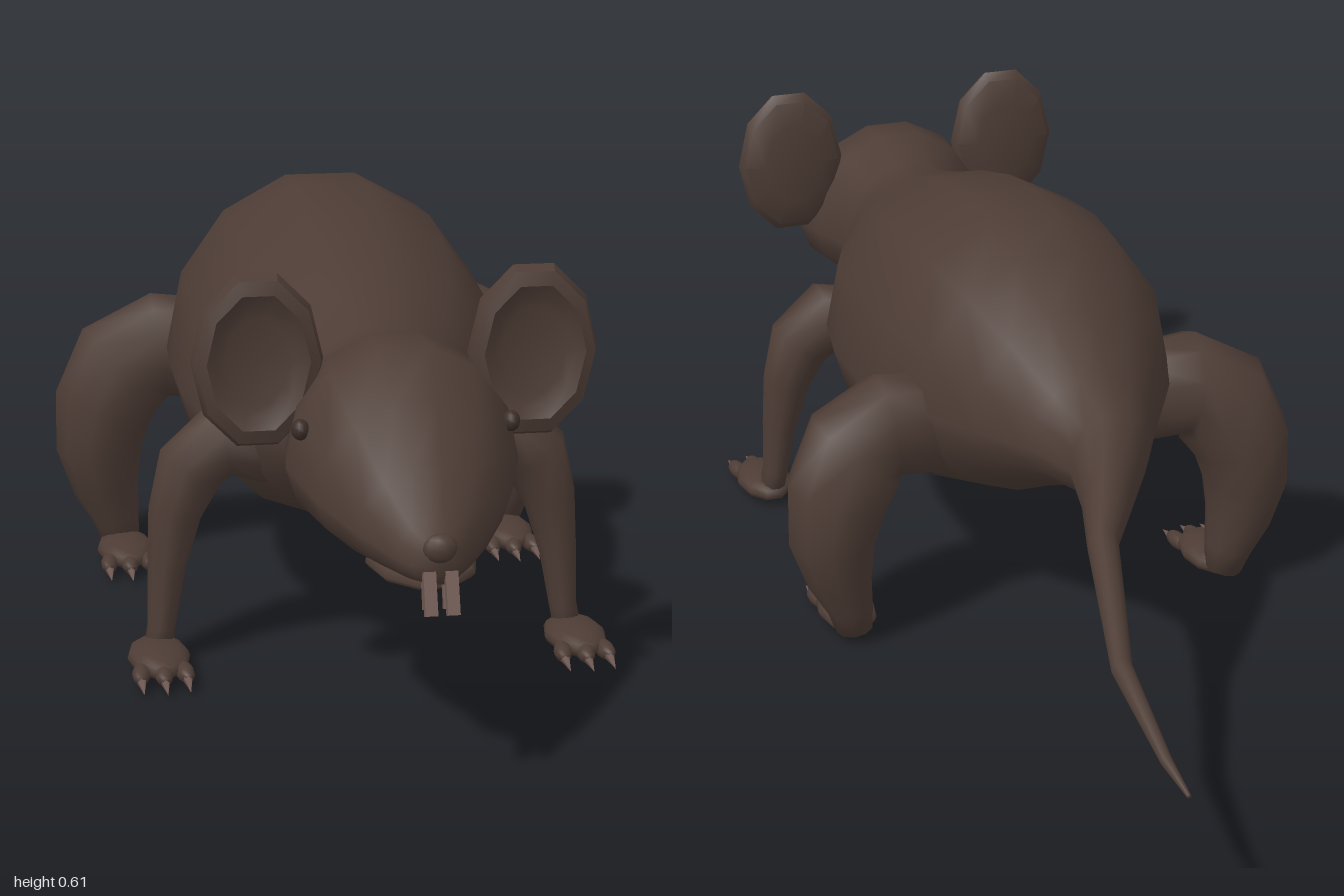
import * as THREE from 'three';
import { toCreasedNormals } from 'three/addons/utils/BufferGeometryUtils.js';

const mat = (name, color) => {
  const m = new THREE.MeshStandardMaterial({ color });
  m.name = name;
  return m;
};

// Skin joining rings of points, closed at both ends; rings run counter-clockwise about the path
function loft(rings) {
  const n = rings[0].length, pos = [], idx = [];
  rings.forEach((r) => r.forEach((p) => pos.push(p.x, p.y, p.z)));
  for (let i = 0; i < rings.length - 1; i++) {
    for (let j = 0; j < n; j++) {
      const k = (j + 1) % n, a = i * n + j, b = i * n + k;
      idx.push(a, b, b + n, a, b + n, a + n);
    }
  }
  [0, rings.length - 1].forEach((i, end) => {
    const c = new THREE.Vector3();
    rings[i].forEach((p) => c.addScaledVector(p, 1 / n));
    const ci = pos.length / 3;
    pos.push(c.x, c.y, c.z);
    for (let j = 0; j < n; j++) {
      const a = i * n + j, b = i * n + (j + 1) % n;
      if (end) idx.push(ci, a, b); else idx.push(ci, b, a);
    }
  });
  const g = new THREE.BufferGeometry();
  g.setAttribute('position', new THREE.Float32BufferAttribute(pos, 3));
  g.setIndex(idx);
  g.computeVertexNormals();
  return g;
}

// Ring upright in the xy plane, with its widest point at height mid
function uprightRing(x, z, half, bottom, top, mid, n) {
  return Array.from({ length: n }, (_, j) => {
    const a = (j / n) * Math.PI * 2, s = Math.sin(a);
    return new THREE.Vector3(x + half * Math.cos(a), mid + s * (s > 0 ? top - mid : mid - bottom), z);
  });
}

// Limb swept along points [x, y, z, radius across, radius along z]
function limb(points, side) {
  const c = points.map((p) => new THREE.Vector3(p[0] * side, p[1], p[2]));
  const v = new THREE.Vector3(0, 0, 1), n = 10;
  return loft(points.map((p, i) => {
    const t = c[Math.min(i + 1, c.length - 1)].clone().sub(c[Math.max(i - 1, 0)]);
    t.z = 0;
    const u = v.clone().cross(t.normalize());
    return Array.from({ length: n }, (_, j) => {
      const a = (j / n) * Math.PI * 2;
      return c[i].clone().addScaledVector(u, Math.cos(a) * p[3]).addScaledVector(v, Math.sin(a) * p[4]);
    });
  }));
}

export function createModel() {
  const model = new THREE.Group();
  const fur = mat('brown fur', 0x4d3c35);
  const eyeMat = mat('dark eye', 0x3c2e29);
  const clawMat = mat('claw and tooth', 0x705953);

  const add = (name, geo, material, x = 0, y = 0, z = 0, parent = model) => {
    const m = new THREE.Mesh(geo, material);
    m.name = name;
    m.position.set(x, y, z);
    parent.add(m);
    return m;
  };
  const ball = (rx, ry, rz) => new THREE.SphereGeometry(1, 10, 8).scale(rx, ry, rz);

  // Tail, trunk and head: [z, x, half width, bottom, top]
  const sections = [
    [-1, 0.127, 0.003, 0.208, 0.214],
    [-0.94, 0.134, 0.008, 0.222, 0.238],
    [-0.78, 0.135, 0.015, 0.268, 0.296],
    [-0.56, 0.08, 0.023, 0.328, 0.372],
    [-0.46, 0.035, 0.04, 0.326, 0.412],
    [-0.37, 0, 0.06, 0.32, 0.45],
    [-0.3, 0, 0.097, 0.312, 0.483],
    [-0.2, 0, 0.15, 0.265, 0.54],
    [-0.1, 0, 0.2, 0.213, 0.59],
    [0, 0, 0.234, 0.175, 0.619],
    [0.1, 0, 0.24, 0.17, 0.624],
    [0.22, 0, 0.238, 0.17, 0.606],
    [0.34, 0, 0.215, 0.18, 0.572],
    [0.44, 0, 0.174, 0.215, 0.535],
    [0.52, 0, 0.133, 0.255, 0.51],
    [0.58, 0, 0.11, 0.278, 0.505],
    [0.64, 0, 0.145, 0.273, 0.535],
    [0.71, 0, 0.155, 0.265, 0.532],
    [0.8, 0, 0.127, 0.266, 0.48],
    [0.88, 0, 0.087, 0.275, 0.417],
    [0.94, 0, 0.05, 0.283, 0.37],
    [0.968, 0, 0.034, 0.29, 0.36],
    [0.978, 0, 0.018, 0.305, 0.35],
  ];
  add('bodyHeadAndTail', loft(sections.map(([z, x, h, b, t]) =>
    uprightRing(x, z, h, b, t, b + (t - b) * 0.4, 14))), fur);

  // Snout
  add('lowerJaw', ball(0.072, 0.018, 0.11), fur, 0, 0.283, 0.845);
  add('nose', ball(0.022, 0.019, 0.014), fur, 0, 0.34, 0.974);

  for (const s of [1, -1]) {
    const side = s > 0 ? 'left' : 'right';

    // Ear: shallow dish with a raised rim, [z, scale]
    const dish = [[0.628, 0.55], [0.638, 0.9], [0.652, 1], [0.668, 0.94], [0.674, 0.78], [0.666, 0.64], [0.661, 0.5]];
    const ear = loft(dish.map(([z, k]) =>
      uprightRing(0.184 * s, z, 0.088 * k, 0.503 - 0.122 * k, 0.503 + 0.122 * k, 0.503, 10)));
    add(side + 'Ear', toCreasedNormals(ear, 0.7), fur);

    add(side + 'Eye', ball(0.012, 0.014, 0.014), eyeMat, 0.139 * s, 0.43, 0.735);

    // Incisors
    const upper = add(side + 'UpperTooth', new THREE.BoxGeometry(0.016, 0.055, 0.012), clawMat, 0.014 * s, 0.284, 0.983);
    upper.rotation.x = -0.35;
    const lower = add(side + 'LowerTooth', new THREE.BoxGeometry(0.012, 0.04, 0.01), clawMat, 0.013 * s, 0.276, 0.957);
    lower.rotation.x = -0.3;

    // Legs
    add(side + 'FrontLeg', limb([
      [0.13, 0.31, 0.4, 0.055, 0.055], [0.2, 0.325, 0.4, 0.056, 0.062], [0.245, 0.285, 0.403, 0.05, 0.056],
      [0.268, 0.22, 0.405, 0.038, 0.043], [0.281, 0.14, 0.41, 0.027, 0.035],
      [0.289, 0.06, 0.413, 0.02, 0.028], [0.296, 0.02, 0.418, 0.02, 0.026],
    ], s), fur);
    add(side + 'HindLeg', limb([
      [0.15, 0.33, -0.06, 0.08, 0.06], [0.24, 0.34, -0.065, 0.082, 0.072], [0.29, 0.31, -0.075, 0.086, 0.08],
      [0.323, 0.245, -0.082, 0.077, 0.083], [0.332, 0.175, -0.083, 0.066, 0.076],
      [0.322, 0.11, -0.085, 0.05, 0.06], [0.307, 0.06, -0.085, 0.036, 0.045], [0.3, 0.02, -0.083, 0.028, 0.032],
    ], s), fur);

    // Feet with three toes and claws
    for (const [name, z] of [['FrontFoot', 0.455], ['HindFoot', -0.03]]) {
      const foot = new THREE.Group();
      foot.name = side + name;
      foot.position.set(0.298 * s, 0, z);
      model.add(foot);
      add('paw', ball(0.044, 0.021, 0.075), fur, 0, 0.026, 0, foot);
      for (const i of [-1, 0, 1]) {
        const toe = add('toe', ball(0.013, 0.013, 0.03), fur, i * 0.03, 0.022, 0.055 + (i ? 0 : 0.008), foot);
        toe.rotation.y = i * 0.12;
        const claw = new THREE.ConeGeometry(0.011, 0.06, 6).rotateX(Math.PI / 2 + 0.15);
        add('claw', claw, clawMat, i * 0.032, 0.018, 0.086 + (i ? 0 : 0.006), foot);
      }
    }
  }
  return model;
}
